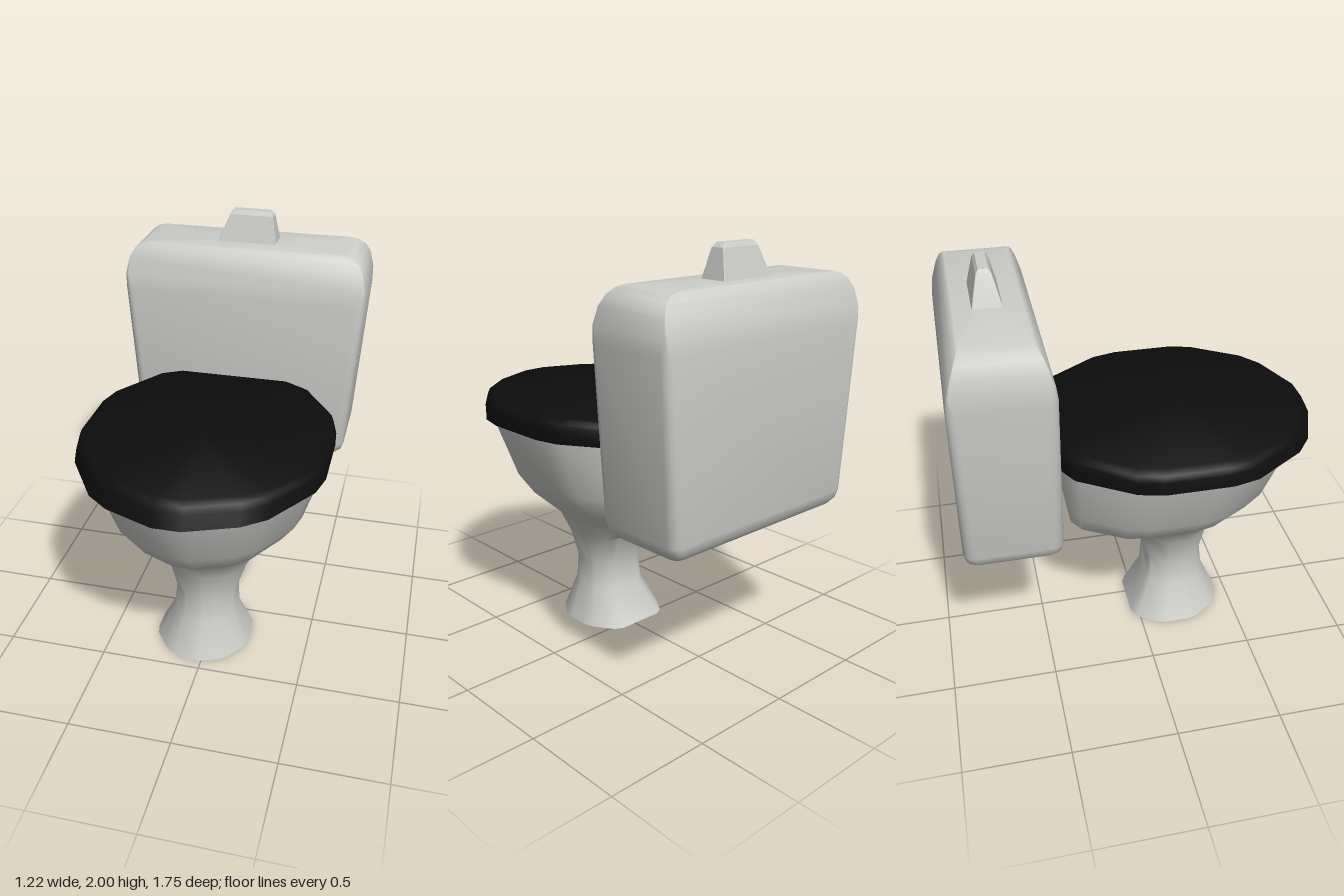
import * as THREE from 'three';
import { toCreasedNormals } from 'three/addons/utils/BufferGeometryUtils.js';

const ceramic = new THREE.MeshStandardMaterial({ color: 0xcdcdca });
ceramic.name = 'pale grey ceramic';
const black = new THREE.MeshStandardMaterial({ color: 0x0d0d0d });
black.name = 'black plastic';

// Right half of the lid outline [x, z], back to front, in the range -1..1
const half = [
  [0.5, -1], [0.675, -0.91], [0.95, -0.52], [1, -0.33], [1, 0.155],
  [0.95, 0.345], [0.675, 0.735], [0.5, 0.86], [0.11, 1],
];
const oval = [...half, ...half.map(([x, z]) => [-x, z]).reverse()];

// Fit the oval into the given bounds at height y
const ovalRing = ([y, x0, x1, z0, z1]) => oval.map(([x, z]) => [
  (x0 + x1) / 2 + x * (x1 - x0) / 2, y, (z0 + z1) / 2 + z * (z1 - z0) / 2,
]);

// Rectangle with rounded corners at height y, same winding as the oval
function rectRing(y, hx, hz, r, cx, cz, steps = 4) {
  const ring = [];
  [[1, -1], [1, 1], [-1, 1], [-1, -1]].forEach(([sx, sz], k) => {
    for (let i = 0; i <= steps; i++) {
      const a = (k - 1 + i / steps) * Math.PI / 2;
      ring.push([cx + sx * (hx - r) + r * Math.cos(a), y, cz + sz * (hz - r) + r * Math.sin(a)]);
    }
  });
  return ring;
}

// Closed solid through a stack of rings, bottom to top
function loft(name, rings, material, crease) {
  const pos = [];
  const n = rings[0].length;
  const tri = (...p) => p.forEach((v) => pos.push(...v));
  const middle = (ring) => [0, 1, 2].map((k) => ring.reduce((s, p) => s + p[k], 0) / n);
  const first = rings[0], last = rings[rings.length - 1];
  const low = middle(first), high = middle(last);
  for (let i = 0; i < n; i++) {
    const j = (i + 1) % n;
    for (let r = 0; r < rings.length - 1; r++) {
      const a = rings[r], b = rings[r + 1];
      tri(a[i], b[i], b[j]);
      tri(a[i], b[j], a[j]);
    }
    tri(low, first[i], first[j]);
    tri(high, last[j], last[i]);
  }
  const geo = new THREE.BufferGeometry();
  geo.setAttribute('position', new THREE.Float32BufferAttribute(pos, 3));
  const mesh = new THREE.Mesh(toCreasedNormals(geo, crease), material);
  mesh.name = name;
  return mesh;
}

export function createModel() {
  const model = new THREE.Group();
  model.name = 'toilet';

  // Pedestal flowing into the bowl: y, left, right, back, front
  model.add(loft('bowlAndPedestal', [
    [0, -0.28, 0.2, -0.04, 0.45],
    [0.18, -0.19, 0.135, 0.05, 0.37],
    [0.32, -0.175, 0.13, 0.06, 0.355],
    [0.48, -0.22, 0.18, 0.01, 0.39],
    [0.6, -0.29, 0.25, -0.14, 0.46],
    [0.72, -0.435, 0.385, -0.355, 0.63],
    [0.82, -0.5, 0.45, -0.37, 0.7],
    [1.11, -0.59, 0.54, -0.38, 0.81],
  ].map(ovalRing), ceramic, 0.65));

  // Lid with a rounded upper rim
  model.add(loft('lid', [
    [1.1, -0.615, 0.56, -0.41, 0.875],
    [1.16, -0.61, 0.56, -0.41, 0.845],
    [1.19, -0.6, 0.55, -0.4, 0.83],
    [1.21, -0.57, 0.52, -0.375, 0.805],
  ].map(ovalRing), black, 0.8));

  // Cistern: y, half width, half depth, corner radius
  model.add(loft('cistern', [
    [0.76, 0.47, 0.155, 0.03],
    [0.772, 0.515, 0.195, 0.04],
    [0.8, 0.543, 0.217, 0.05],
    [0.84, 0.555, 0.226, 0.05],
    [1.62, 0.609, 0.227, 0.04],
    [1.69, 0.607, 0.217, 0.02],
    [1.77, 0.59, 0.192, 0.004],
    [1.815, 0.565, 0.174, 0.004],
    [1.84, 0.53, 0.16, 0.004],
    [1.85, 0.49, 0.152, 0.004],
  ].map(([y, x, z, r]) => rectRing(y, x, z, r, 0, -0.653)), ceramic, 0.65));

  // Flush button
  model.add(loft('flushButton', [
    [1.845, 0.148, 0.067, -0.012],
    [1.98, 0.108, 0.034, 0.004],
    [2, 0.092, 0.022, 0],
  ].map(([y, x, z, cx]) => rectRing(y, x, z, 0.003, cx, -0.655, 1)), ceramic, 0.3));

  return model;
}
